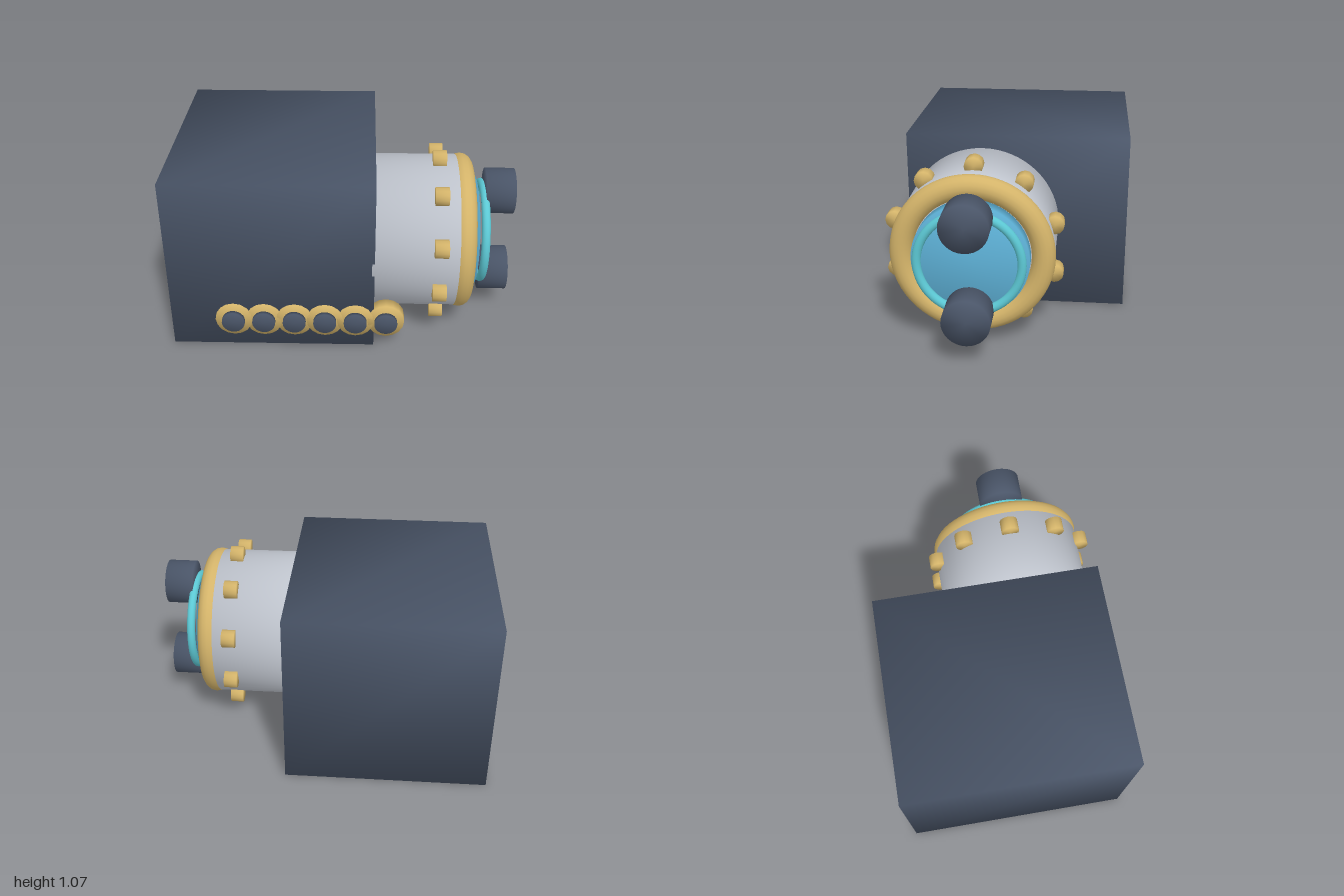
import * as THREE from 'three';
import { mergeVertices } from 'three/addons/utils/BufferGeometryUtils.js';

const material = (name, color) => {
  const m = new THREE.MeshStandardMaterial({ color });
  m.name = name;
  return m;
};

// Shares corner vertices so shading flows softly across the edges
function soften(geometry) {
  geometry.deleteAttribute('normal');
  geometry.deleteAttribute('uv');
  const g = mergeVertices(geometry, 1e-4);
  g.computeVertexNormals();
  return g;
}

export function createModel() {
  const group = new THREE.Group();
  const slate = material('slate', 0x4a5568);
  const silver = material('silver', 0xc0c5ce);
  const brass = material('brass', 0xd4b46a);
  const glass = material('blue glass', 0x5fb3d9);
  const cyan = material('cyan', 0x5cc8d4);

  const CY = 0.535, CZ = 0.18; // axis of the barrel

  const add = (name, geometry, mat, x, y, z) => {
    const mesh = new THREE.Mesh(geometry, mat);
    mesh.name = name;
    mesh.position.set(x, y, z);
    group.add(mesh);
    return mesh;
  };
  // Cylinder lying along x, between two x positions
  const drum = (name, r, x0, x1, y, z, mat, sides = 48) =>
    add(name, soften(new THREE.CylinderGeometry(r, r, x1 - x0, sides).rotateZ(-Math.PI / 2)),
      mat, (x0 + x1) / 2, y, z);
  // Cylinder facing +z, between two z positions
  const disc = (name, r, z0, z1, x, y, mat, sides) =>
    add(name, soften(new THREE.CylinderGeometry(r, r, z1 - z0, sides).rotateX(Math.PI / 2)),
      mat, x, y, (z0 + z1) / 2);
  const ring = (name, radius, tube, x, mat) =>
    add(name, new THREE.TorusGeometry(radius, tube, 16, 64).rotateY(Math.PI / 2), mat, x, CY, CZ);

  // Main body
  add('body', soften(new THREE.BoxGeometry(1.185, 1.07, 1.32)), slate, -0.4075, 0.535, -0.025);

  // Barrel with its rim, glass and inner ring
  drum('barrel', 0.457, 0.17, 0.7, CY, CZ, silver, 64);
  ring('barrelRim', 0.398, 0.067, 0.693, brass);
  drum('glass', 0.328, 0.69, 0.785, CY, CZ, glass, 64);
  ring('glassRing', 0.289, 0.025, 0.825, cyan);

  // Knobs in front of the glass
  for (const s of [1, -1]) drum('knob', 0.135, 0.83, 1, CY + s * 0.272, CZ, slate, 32);

  // Studs around the barrel
  for (let i = 0; i < 10; i++) {
    const a = Math.PI / 2 + (i * Math.PI) / 5;
    drum('stud', 0.053, 0.517, 0.595, CY + 0.476 * Math.sin(a), CZ + 0.476 * Math.cos(a), brass, 12);
  }

  // Row of buttons with brass surrounds along the front
  for (let i = 0; i < 6; i++) {
    const x = -0.635 + i * 0.178;
    disc('buttonSurround', 0.108, 0.572, 0.642, x, 0.18, brass, 16);
    disc('button', 0.067, 0.652, 0.675, x, 0.18, slate, 24);
  }
  return group;
}
